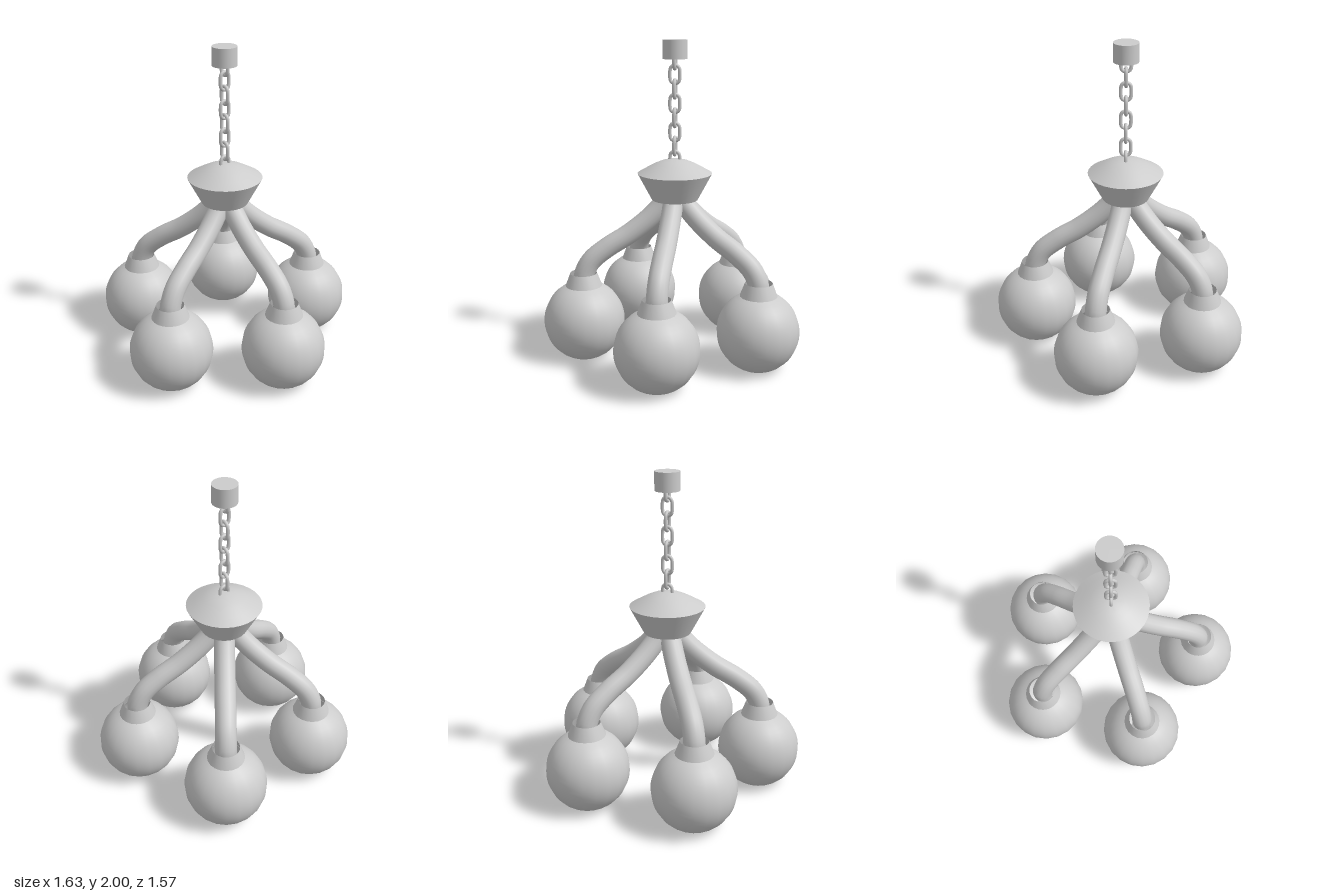
import * as THREE from 'three';
import { toCreasedNormals } from 'three/addons/utils/BufferGeometryUtils.js';

const material = new THREE.MeshStandardMaterial({ color: 0xcccccc, side: THREE.DoubleSide });
const AXIS_Z = -0.055;   // the hanging axis
const ARM_REACH = 0.585; // axis to globe centre
const GLOBE_R = 0.257;
const GLOBE_Y = 0.235;

function part(name, geometry) {
  const mesh = new THREE.Mesh(geometry, material);
  mesh.name = name;
  return mesh;
}

function lathe(points, segments) {
  const geometry = new THREE.LatheGeometry(points.map(([r, y]) => new THREE.Vector2(r, y)), segments);
  return toCreasedNormals(geometry, 0.6);
}

// Stadium-shaped wire link in the XY plane
function linkGeometry() {
  const halfWidth = 0.03, straight = 0.025, points = [];
  for (const side of [1, -1]) {
    for (let i = 0; i <= 6; i++) {
      const a = (i / 6) * Math.PI;
      points.push(new THREE.Vector3(side * halfWidth * Math.cos(a),
        side * (straight + halfWidth * Math.sin(a)), 0));
    }
  }
  const path = new THREE.CatmullRomCurve3(points, true);
  return new THREE.TubeGeometry(path, 40, 0.011, 8, true);
}

// Open-bottomed globe, cut flat at the neck
function globeGeometry() {
  const points = [];
  const low = -Math.asin(GLOBE_Y / GLOBE_R);
  const high = Math.asin(0.23 / GLOBE_R);
  for (let i = 0; i <= 18; i++) {
    const a = low + (high - low) * i / 18;
    points.push([GLOBE_R * Math.cos(a), GLOBE_Y + GLOBE_R * Math.sin(a)]);
  }
  return lathe(points, 20);
}

// S-shaped arm in the YZ plane, from the hub down into the neck
function armGeometry() {
  const path = new THREE.CatmullRomCurve3([
    [0.035, 1.08], [0.065, 1.0], [0.145, 0.91], [0.29, 0.795], [0.43, 0.71],
    [0.535, 0.625], [0.58, 0.54], [0.585, 0.48],
  ].map(([r, y]) => new THREE.Vector3(0, y, r)));
  return new THREE.TubeGeometry(path, 40, 0.065, 16, false);
}

export function createModel() {
  const model = new THREE.Group();
  model.name = 'chandelier';
  const fixture = new THREE.Group();
  fixture.name = 'fixture';
  fixture.position.z = AXIS_Z;
  model.add(fixture);

  // Ceiling mount
  const mount = part('ceilingMount', new THREE.CylinderGeometry(0.076, 0.076, 0.115, 32));
  mount.position.y = 1.9425;
  fixture.add(mount);

  // Chain of alternating links
  const chain = new THREE.Group();
  chain.name = 'chain';
  const link = linkGeometry();
  for (let i = 0; i < 8; i++) {
    const mesh = part('chainLink', link);
    mesh.position.y = 1.88 - i * 0.0885;
    mesh.rotation.y = i % 2 === 0 ? Math.PI / 2 : 0;
    chain.add(mesh);
  }
  fixture.add(chain);

  // Hub: flared cup with a domed lid
  fixture.add(part('hub', lathe([
    [0, 1.01], [0.145, 1.01], [0.234, 1.178], [0.18, 1.209], [0.13, 1.236],
    [0.085, 1.255], [0.04, 1.266], [0, 1.269],
  ], 32)));

  // Five arms with neck and globe
  const arm = armGeometry();
  const neck = lathe([[0.116, 0.465], [0.085, 0.547]], 20);
  const globe = globeGeometry();
  for (let i = 0; i < 5; i++) {
    const lamp = new THREE.Group();
    lamp.name = 'lamp';
    lamp.rotation.y = (i / 5) * Math.PI * 2;
    lamp.add(part('arm', arm));
    for (const [name, geometry] of [['neck', neck], ['globe', globe]]) {
      const mesh = part(name, geometry);
      mesh.position.z = ARM_REACH;
      lamp.add(mesh);
    }
    fixture.add(lamp);
  }
  return model;
}
